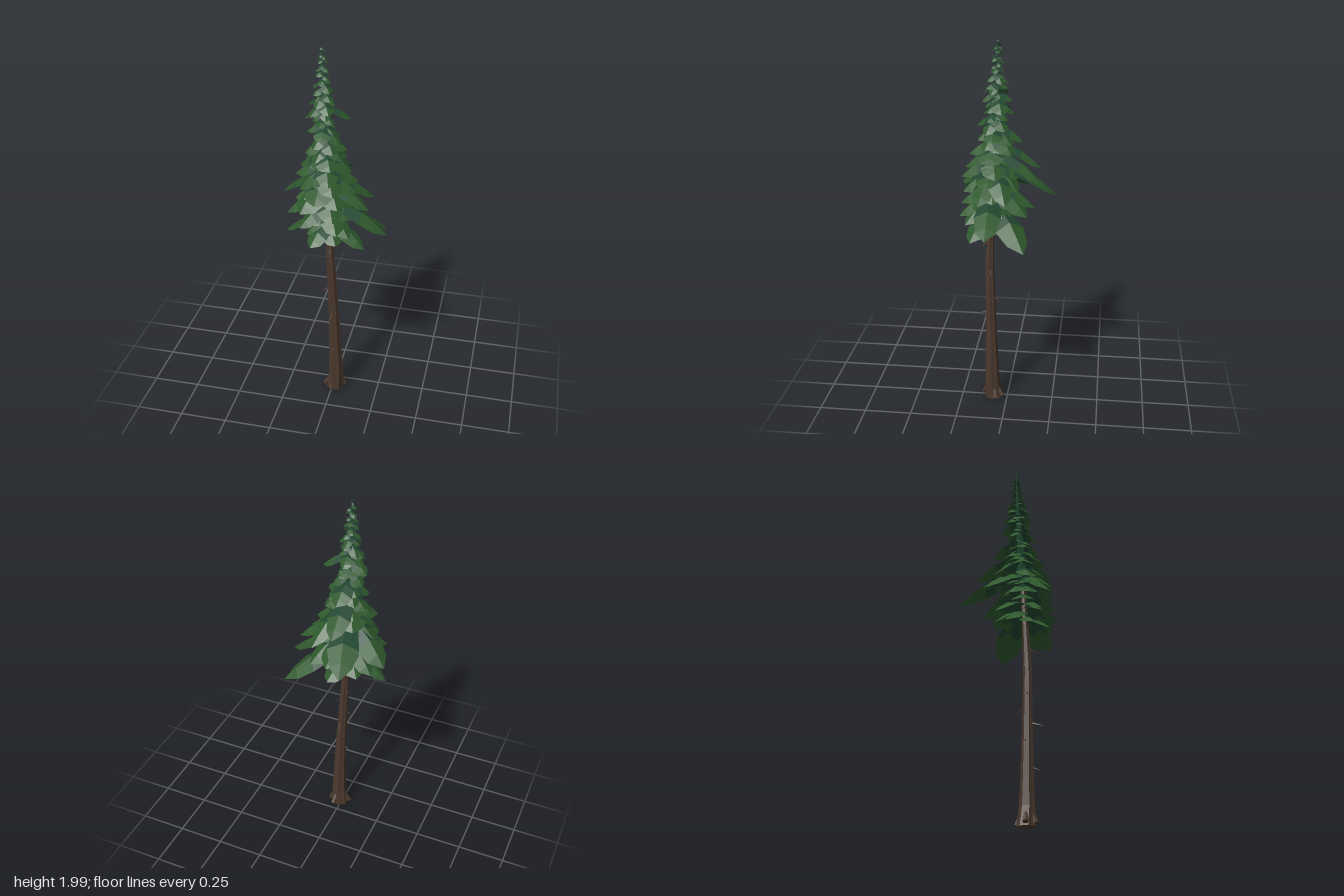
import * as THREE from 'three';
import { mergeGeometries } from 'three/addons/utils/BufferGeometryUtils.js';

// Stem axis and radius by height: [y, x, z, radius]
const STEM = [
  [0, 0.012, 0.076, 0.046], [0.04, 0.016, 0.079, 0.043], [0.1, 0.02, 0.082, 0.039],
  [0.25, 0.017, 0.084, 0.033], [0.5, 0.01, 0.089, 0.027], [0.8, -0.004, 0.095, 0.022],
  [1.05, -0.02, 0.088, 0.016], [1.4, -0.035, 0.073, 0.012], [1.7, -0.047, 0.058, 0.008],
  [1.99, -0.055, 0.05, 0.001],
];

// Tips of the large boughs: [x, y, z, half width]
const BIG_TIPS = [
  [-0.118, 1.155, -0.246, 0.08], [0.057, 1.26, -0.18, 0.055], [0.25, 0.96, -0.107, 0.08],
  [0.282, 1.03, 0.085, 0.07], [0.195, 1.18, 0.127, 0.06], [0.183, 0.98, 0.172, 0.06],
  [0.2, 1.19, -0.01, 0.06], [0.11, 1.05, 0.205, 0.055], [0.055, 1.08, 0.242, 0.06],
  [-0.08, 0.99, 0.232, 0.055], [-0.14, 1.08, 0.2, 0.055], [-0.215, 1.14, 0.16, 0.055],
  [-0.25, 0.98, 0.06, 0.055], [-0.283, 1.155, -0.065, 0.08], [-0.22, 1.22, 0.012, 0.06],
  [-0.045, 1.32, -0.17, 0.06], [0.03, 0.97, -0.06, 0.06], [-0.13, 1.03, -0.05, 0.06],
  [0.04, 0.99, 0.19, 0.05], [0.13, 1.3, 0.05, 0.06], [0.01, 1.33, 0.215, 0.055],
  [-0.12, 1.24, 0.19, 0.055], [0.1, 1.1, -0.11, 0.07], [-0.2, 1.06, -0.03, 0.06],
  [0.0, 1.12, -0.14, 0.07], [-0.165, 1.37, 0.06, 0.055], [0.06, 1.42, 0.03, 0.05],
  [-0.03, 1.46, -0.08, 0.055], [-0.05, 1.4, 0.18, 0.05], [-0.145, 1.61, 0.02, 0.045],
  [0.08, 1.62, 0.02, 0.045], [-0.06, 1.6, -0.03, 0.045], [-0.12, 1.69, 0.03, 0.04],
];

// Foliage reach around the stem by height: [y, reach]
const REACH = [[1.0, 0.14], [1.1, 0.175], [1.2, 0.175], [1.34, 0.14], [1.46, 0.11],
  [1.54, 0.09], [1.62, 0.085], [1.7, 0.07], [1.78, 0.05], [1.88, 0.036], [1.98, 0.02]];

function sample(table, y) {
  let i = 0;
  while (i < table.length - 2 && y > table[i + 1][0]) i++;
  const a = table[i], b = table[i + 1];
  const t = THREE.MathUtils.clamp((y - a[0]) / (b[0] - a[0]), 0, 1);
  return a.map((v, k) => v + (b[k] - v) * t);
}

function seeded(seed) {
  return () => {
    seed = (seed * 16807) % 2147483647;
    return seed / 2147483647;
  };
}

function makeGeometry(points, index) {
  const g = new THREE.BufferGeometry();
  g.setAttribute('position', new THREE.Float32BufferAttribute(points, 3));
  g.setIndex(index);
  const flat = g.toNonIndexed();
  flat.computeVertexNormals();
  return flat;
}

// Loft of rings along the stem, closed at the foot
function stemGeometry(heights, sides, radiusAt) {
  const points = [], index = [];
  for (const y of heights) {
    const [, x, z, r] = sample(STEM, y);
    for (let j = 0; j < sides; j++) {
      const a = (j / sides) * Math.PI * 2;
      const rr = radiusAt(y, j, r);
      points.push(x + Math.cos(a) * rr, y, z + Math.sin(a) * rr);
    }
  }
  for (let i = 0; i < heights.length - 1; i++) {
    for (let j = 0; j < sides; j++) {
      const k = (j + 1) % sides, a = i * sides, b = a + sides;
      index.push(a + j, b + j, a + k, a + k, b + j, b + k);
    }
  }
  for (let j = 1; j < sides - 1; j++) index.push(0, j, j + 1);
  return makeGeometry(points, index);
}

// Pointed spike from start to end
function spike(start, end, radius) {
  const dir = end.clone().sub(start);
  const cone = new THREE.ConeGeometry(radius, dir.length(), 5);
  cone.translate(0, dir.length() / 2, 0);
  cone.applyQuaternion(new THREE.Quaternion().setFromUnitVectors(
    new THREE.Vector3(0, 1, 0), dir.normalize()));
  return cone.translate(start.x, start.y, start.z);
}

// Folded, arched bough; returns its inner and outer halves
function bough(base, tip, halfWidth) {
  const along = tip.clone().sub(base);
  const side = new THREE.Vector3(-along.z, 0, along.x).normalize();
  const length = along.length();
  const rows = [[0, 0.3], [0.3, 0.8], [0.58, 1], [0.82, 0.72], [1, 0.03]].map(([t, w]) => {
    const mid = base.clone().addScaledVector(along, t);
    mid.y += Math.sin(t * Math.PI) * length * 0.14;
    const left = mid.clone().addScaledVector(side, -halfWidth * w);
    const right = mid.clone().addScaledVector(side, halfWidth * w);
    left.y -= halfWidth * w * 0.5;
    right.y -= halfWidth * w * 0.5;
    return [left, mid, right];
  });
  const strip = (part) => {
    const points = part.flat().flatMap((p) => p.toArray()), index = [];
    for (let i = 0; i < part.length - 1; i++) {
      for (let j = 0; j < 2; j++) {
        const a = i * 3 + j;
        index.push(a, a + 1, a + 3, a + 1, a + 4, a + 3);
      }
    }
    return makeGeometry(points, index);
  };
  return [strip(rows.slice(0, 3)), strip(rows.slice(2))];
}

export function createModel() {
  const tree = new THREE.Group();
  tree.name = 'coniferTree';
  const material = (color) => new THREE.MeshStandardMaterial({
    color, flatShading: true, side: THREE.DoubleSide,
  });
  const bark = material(0x4a382d);
  const innerGreen = material(0x234831);
  const outerGreen = material(0x2f592d);
  const add = (name, geometry, mat) => {
    const mesh = new THREE.Mesh(geometry, mat);
    mesh.name = name;
    tree.add(mesh);
  };
  const random = seeded(4217);

  // Ribbed trunk with flared foot
  add('trunk', stemGeometry([0, 0.04, 0.1, 0.25, 0.5, 0.8, 1.05, 1.4, 1.7], 14,
    (y, j, r) => r * (j % 2 ? 0.9 : 1.06)), bark);

  // Root spurs
  for (const [x, z] of [[-0.05, 0.085], [0.07, 0.06], [0.0, 0.135], [0.035, 0.018]]) {
    const foot = new THREE.Vector3(x * 0.85 + 0.003, 0.015, z * 0.85 + 0.012);
    add('root', spike(foot, new THREE.Vector3(0.018, 0.13, 0.082), 0.016), bark);
  }

  // Dead twigs: tip x, y, z, rise from tip to trunk
  for (const [x, y, z, rise] of [[0.045, 0.73, 0.08, 0.05], [-0.055, 0.655, 0.1, 0.025],
    [-0.04, 0.415, 0.08, 0.02], [0.062, 0.35, 0.075, 0.025], [0.0, 0.885, 0.15, 0.035],
    [0.01, 0.562, 0.018, 0.05], [0.0, 0.495, 0.175, 0.03], [0.01, 0.275, 0.148, 0.025],
    [-0.035, 0.81, 0.075, 0.035]]) {
    const [, sx, sz] = sample(STEM, y);
    add('twig', spike(new THREE.Vector3(sx, y + rise, sz), new THREE.Vector3(x, y, z), 0.009), bark);
  }

  // Dark foliage core ending in the spire
  add('foliageCore', stemGeometry([1.25, 1.5, 1.75, 1.9, 1.99], 8,
    (y, j) => Math.max(0.001, (1.99 - y) * 0.036 * (j % 2 ? 0.8 : 1.1))), innerGreen);

  const inner = [], outer = [];
  const addBough = (tip, halfWidth, rise) => {
    const [, ax, az] = sample(STEM, tip.y);
    const reach = Math.hypot(tip.x - ax, tip.z - az);
    const baseY = Math.min(tip.y + reach * rise, 1.985);
    const [, bx, bz] = sample(STEM, baseY);
    const [a, b] = bough(new THREE.Vector3(bx, baseY, bz), tip, halfWidth);
    inner.push(a);
    outer.push(b);
  };

  // Large boughs
  for (const [x, y, z, w] of BIG_TIPS) addBough(new THREE.Vector3(x, y, z), w, 0.52);

  // Spiral of boughs shrinking toward the top
  const count = 112;
  for (let i = 0; i < count; i++) {
    const y = 1.0 + 0.96 * Math.pow(i / (count - 1), 0.8) + (random() - 0.5) * 0.02;
    const reach = sample(REACH, y)[1] * (0.6 + 0.5 * random());
    const angle = i * 2.39996 + (random() - 0.5) * 0.8;
    const [, x, z] = sample(STEM, y);
    const tip = new THREE.Vector3(x + Math.cos(angle) * reach, y, z + Math.sin(angle) * reach);
    addBough(tip, reach * (0.38 + 0.14 * random()), 0.35 + 0.4 * random());
  }
  add('boughBases', mergeGeometries(inner), innerGreen);
  add('boughTips', mergeGeometries(outer), outerGreen);
  return tree;
}
